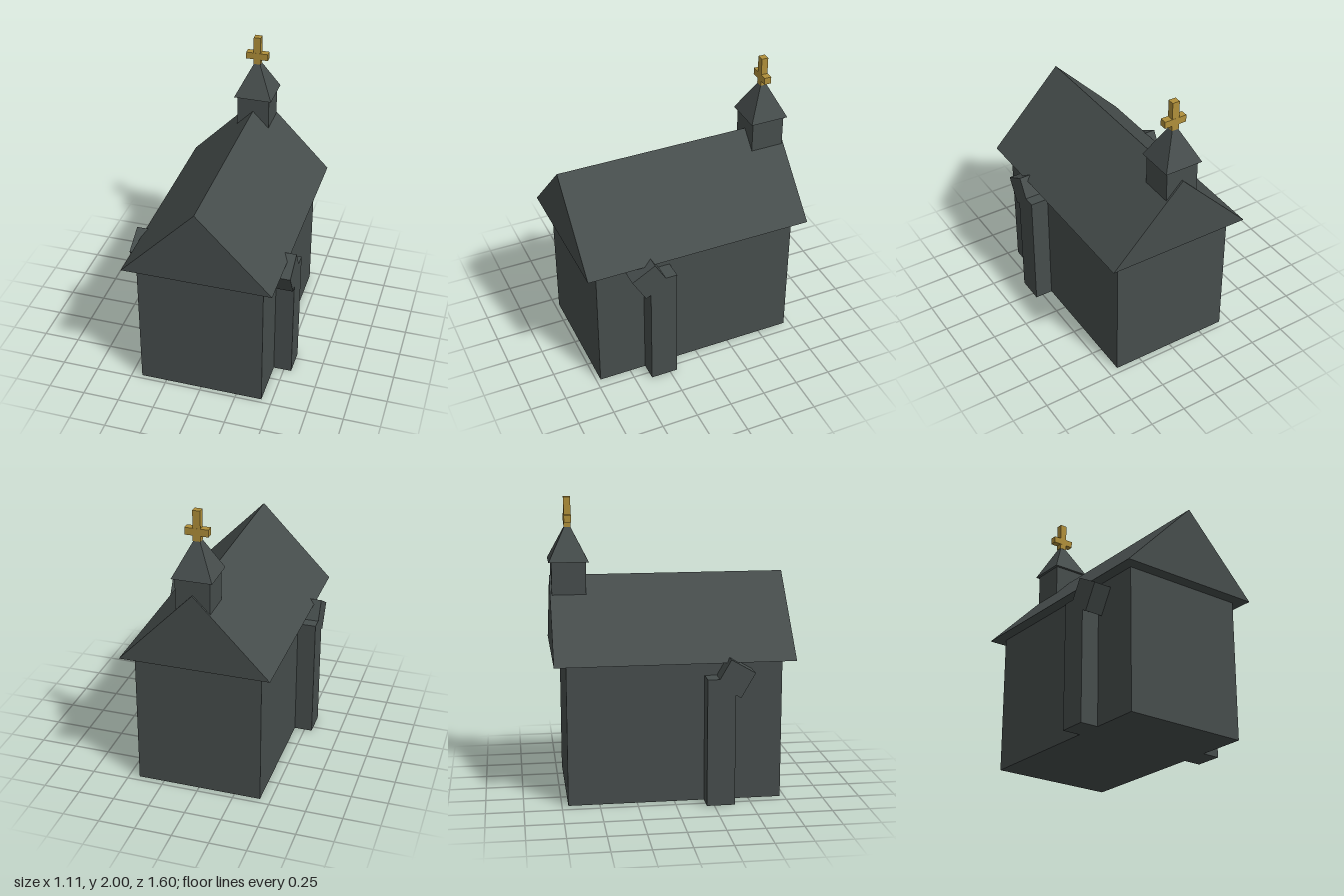
import * as THREE from 'three';

export function createModel() {
  const group = new THREE.Group();
  const slate = new THREE.MeshStandardMaterial({ name: 'slate grey', color: 0x464d4c });
  const gold = new THREE.MeshStandardMaterial({ name: 'gold', color: 0xb08f3a });

  const add = (name, geometry, material, parent = group) => {
    const mesh = new THREE.Mesh(geometry, material);
    mesh.name = name;
    parent.add(mesh);
    return mesh;
  };
  // box given by its extents on each axis
  const box = (name, [x0, x1], [y0, y1], [z0, z1], material, parent) => {
    const mesh = add(name, new THREE.BoxGeometry(x1 - x0, y1 - y0, z1 - z0), material, parent);
    mesh.position.set((x0 + x1) / 2, (y0 + y1) / 2, (z0 + z1) / 2);
    return mesh;
  };

  // nave walls
  box('nave', [-0.428, 0.428], [0, 0.96], [-0.708, 0.72], slate);

  // gabled roof: triangle extruded along z
  const gable = new THREE.Shape([
    new THREE.Vector2(-0.505, 0.955),
    new THREE.Vector2(0.505, 0.955),
    new THREE.Vector2(0, 1.478),
  ]);
  const roof = add('roof', new THREE.ExtrudeGeometry(gable, { depth: 1.588, bevelEnabled: false }), slate);
  roof.position.z = -0.788;

  // side buttresses with tilted cap blocks
  for (const side of [1, -1]) {
    const buttress = new THREE.Group();
    buttress.name = side > 0 ? 'leftButtress' : 'rightButtress';
    const post = box('buttressPost', [-0.066, 0.066], [0, 0.858], [0.2, 0.387], slate, buttress);
    post.position.x = side * 0.487;
    const cap = add('buttressCap', new THREE.BoxGeometry(0.132, 0.19, 0.186), slate, buttress);
    cap.position.set(side * 0.487, 0.858, 0.388);
    cap.rotation.x = Math.PI / 6;
    group.add(buttress);
  }

  // bell tower and spire at the rear
  const tower = new THREE.Group();
  tower.name = 'bellTower';
  tower.position.z = -0.662;
  group.add(tower);
  box('towerBase', [-0.114, 0.114], [1.36, 1.58], [-0.114, 0.114], slate, tower);
  const spireGeometry = new THREE.ConeGeometry(0.133 * Math.SQRT2, 0.265, 4).toNonIndexed();
  spireGeometry.rotateY(Math.PI / 4);
  spireGeometry.computeVertexNormals();
  add('spire', spireGeometry, slate, tower).position.y = 1.7105;

  // cross
  box('crossPost', [-0.025, 0.025], [1.8, 2], [-0.023, 0.023], gold, tower);
  box('crossArms', [-0.077, 0.077], [1.836, 1.884], [-0.024, 0.024], gold, tower);

  return group;
}
